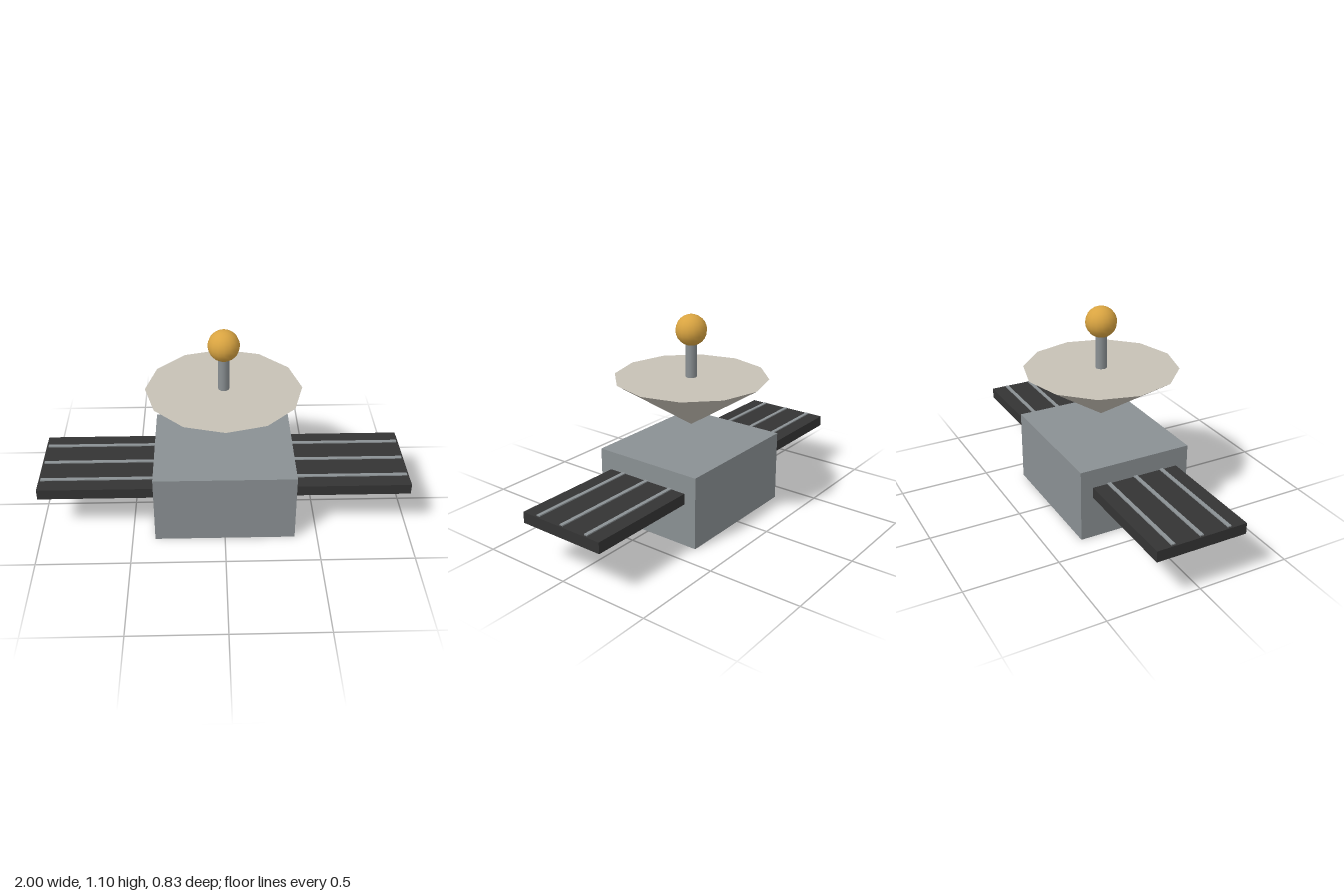
import * as THREE from 'three';

export function createModel() {
  const model = new THREE.Group();
  model.name = 'satellite';

  const material = (name, color) => {
    const m = new THREE.MeshStandardMaterial({ color });
    m.name = name;
    return m;
  };
  const grey = material('metal grey', 0x8a9093);
  const dark = material('panel black', 0x343434);
  const cream = material('dish cream', 0xc6c1b6);
  const gold = material('gold', 0xd9a441);

  const add = (name, geometry, mat, x, y, z, parent = model) => {
    const mesh = new THREE.Mesh(geometry, mat);
    mesh.name = name;
    mesh.position.set(x, y, z);
    parent.add(mesh);
    return mesh;
  };

  // Main box
  add('body', new THREE.BoxGeometry(0.756, 0.393, 0.628), grey, 0, 0.1965, 0);

  // Solar wings, each with three raised strips
  for (const side of [1, -1]) {
    const wing = new THREE.Group();
    wing.name = side > 0 ? 'leftWing' : 'rightWing';
    model.add(wing);
    add('panel', new THREE.BoxGeometry(0.64, 0.059, 0.492), dark, side * 0.68, 0.2615, 0, wing);
    for (const z of [-0.155, 0, 0.155]) {
      add('panelStrip', new THREE.BoxGeometry(0.62, 0.014, 0.02), grey, side * 0.68, 0.29, z, wing);
    }
  }

  // Closed twelve-sided dish, pointing down
  const dish = add('dish', new THREE.ConeGeometry(0.413, 0.27, 12), cream, 0, 0.626, 0);
  dish.rotation.x = Math.PI;

  // Antenna
  add('antennaRod', new THREE.CylinderGeometry(0.03, 0.03, 0.26, 12), grey, 0, 0.83, 0);
  add('antennaBall', new THREE.SphereGeometry(0.083, 16, 12), gold, 0, 1.015, 0);

  return model;
}
